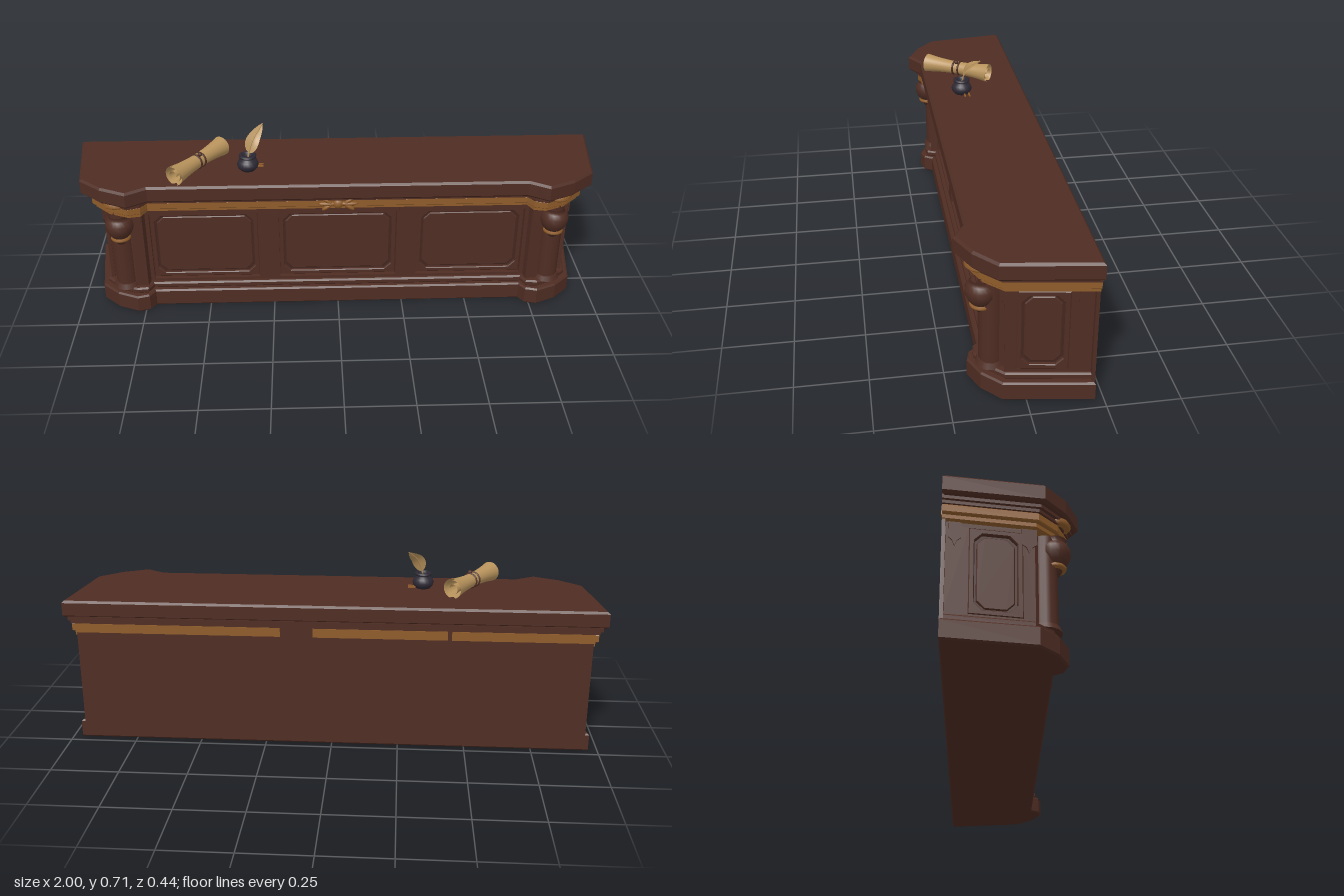
import * as THREE from 'three';
import { ParametricGeometry } from 'three/addons/geometries/ParametricGeometry.js';

const mat = (name, color, side = THREE.FrontSide) => {
  const m = new THREE.MeshStandardMaterial({ color, side });
  m.name = name;
  return m;
};

export function createModel() {
  const root = new THREE.Group();
  root.name = 'counter';
  const wood = mat('brown wood', 0x4f2d23);
  const dark = mat('dark wood', 0x432720);
  const gold = mat('gilded trim', 0x8f5c2a);
  const paper = mat('parchment', 0xb8935c, THREE.DoubleSide);
  const ink = mat('ink pot glaze', 0x2d2934);

  const add = (parent, name, geo, m, x = 0, y = 0, z = 0) => {
    const mesh = new THREE.Mesh(geo, m);
    mesh.name = name;
    mesh.position.set(x, y, z);
    parent.add(mesh);
    return mesh;
  };
  const box = (p, name, m, w, h, d, x, y, z) => add(p, name, new THREE.BoxGeometry(w, h, d), m, x, y, z);
  const lathe = (p, name, m, pts, x, y, z) =>
    add(p, name, new THREE.LatheGeometry(pts.map(q => new THREE.Vector2(...q)), 20), m, x, y, z);
  const extrude = (shape, depth, bevel = 0) => new THREE.ExtrudeGeometry(shape, {
    depth: depth - 2 * bevel, bevelEnabled: bevel > 0, bevelSize: bevel,
    bevelThickness: bevel, bevelOffset: -bevel, bevelSegments: 1,
  }).translate(0, 0, bevel);

  // Horizontal slab following the counter plan, grown outwards by o
  const layer = (name, m, y0, y1, o, zf, bevel = 0) => {
    const half = [
      [0.935 + o, -0.22], [0.89 + o, 0.06 + 0.6 * o], [0.84 + 0.5 * o, 0.115 + 0.85 * o],
      [0.78 - 0.1 * o, 0.14 + 1.17 * o], [0.735 - 0.1 * o, 0.14 + 0.75 * o], [0.72 - 0.3 * o, zf],
    ];
    const pts = [...half, ...half.slice().reverse().map(([x, z]) => [-x, z])];
    const shape = new THREE.Shape(pts.map(([x, z]) => new THREE.Vector2(x, -z)));
    const geo = extrude(shape, y1 - y0, bevel).rotateX(-Math.PI / 2);
    return add(root, name, geo, m, 0, y0, 0);
  };
  layer('plinth', wood, 0, 0.07, 0.03, 0.13, 0.006);
  layer('plinthStep', wood, 0.07, 0.095, 0.012, 0.115, 0.006);
  layer('body', wood, 0.09, 0.422, -0.012, 0.07);
  layer('lowerGoldBand', gold, 0.42, 0.433, 0.02, 0.115);
  layer('upperGoldBand', gold, 0.435, 0.464, 0.032, 0.13, 0.003);
  layer('corniceStep', wood, 0.464, 0.475, 0.036, 0.135);
  layer('cornice', wood, 0.475, 0.49, 0.046, 0.15);
  layer('counterTop', wood, 0.486, 0.55, 0.065, 0.172, 0.008);

  // Rectangle path, optionally with cut corners
  const rect = (w, h, cut = 0, cx = 0, cy = 0, Type = THREE.Shape) => {
    const a = w / 2, b = h / 2, c = cut;
    const pts = [[a - c, -b], [a, c - b], [a, b - c], [a - c, b], [c - a, b], [-a, b - c], [-a, c - b], [c - a, -b]];
    const p = new Type();
    pts.forEach(([x, y], i) => (i ? p.lineTo(cx + x, cy + y) : p.moveTo(cx + x, cy + y)));
    p.closePath();
    return p;
  };
  const holed = (outer, ...holes) => {
    outer.holes.push(...holes);
    return outer;
  };
  // Moulding ring with a field panel inside
  const panel = (p, w, h, x, y, z) => {
    const g = new THREE.Group();
    g.name = 'panel';
    g.position.set(x, y, z);
    p.add(g);
    add(g, 'panelMoulding', extrude(holed(rect(w, h), rect(w - 0.036, h - 0.036, 0.025, 0, 0, THREE.Path)), 0.016, 0.003), wood);
    add(g, 'panelGroove', extrude(rect(w - 0.02, h - 0.02), 0.003), dark);
    add(g, 'panelField', extrude(rect(w - 0.05, h - 0.05, 0.025), 0.009, 0.003), wood);
  };
  // Pointed plate hanging at the top of a stile
  const lappet = (p, w, x, z) => {
    const a = w / 2;
    const s = new THREE.Shape([[-a, 0], [-a, -0.055], [-a * 0.4, -0.065], [0, -0.085], [a * 0.4, -0.065], [a, -0.055], [a, 0]]
      .map(q => new THREE.Vector2(...q)));
    add(p, 'stileLappet', extrude(s, 0.005), wood, x, 0.42, z);
  };

  // Front framing with three panelled bays
  const bays = [-0.51, 0, 0.51];
  const frame = holed(rect(1.46, 0.33, 0, 0, 0.257),
    ...bays.map(x => rect(x ? 0.41 : 0.45, 0.29, 0, x, 0.25, THREE.Path)));
  add(root, 'frontFrame', extrude(frame, 0.035), wood, 0, 0, 0.065);
  bays.forEach(x => panel(root, x ? 0.41 : 0.45, 0.29, x, 0.25, 0.07));

  for (const s of [1, -1]) {
    lappet(root, 0.065, s * 0.265, 0.099);
    lappet(root, 0.03, s * 0.755, 0.128);
    // Side framing, aligned with the slanted end
    const side = new THREE.Group();
    side.name = 'sideEnd';
    side.position.set(s * 0.897, 0, -0.075);
    side.rotation.y = s * 1.411;
    root.add(side);
    const cx = s * -0.02;
    add(side, 'sideFrame', extrude(holed(rect(0.285, 0.327, 0, 0, 0.257), rect(0.17, 0.3, 0, cx, 0.255, THREE.Path)), 0.014), wood);
    panel(side, 0.17, 0.3, cx, 0.255, 0);
    lappet(side, 0.05, s * -0.124, 0.013);
    lappet(side, 0.04, s * 0.11, 0.013);

    // Corner column with hanging bulb
    const col = new THREE.Group();
    col.name = 'cornerColumn';
    col.position.set(s * 0.82, 0, 0);
    root.add(col);
    add(col, 'columnShaft', new THREE.CylinderGeometry(0.042, 0.042, 0.33, 16), wood, 0, 0.26, 0.1);
    add(col, 'columnFoot', new THREE.CylinderGeometry(0.046, 0.054, 0.02, 16), wood, 0, 0.1, 0.1);
    lathe(col, 'bulb', wood, [[0.028, 0.322], [0.042, 0.34], [0.052, 0.362], [0.052, 0.385], [0.042, 0.402], [0.034, 0.408], [0.04, 0.422]], 0, 0, 0.133);
    lathe(col, 'bulbRing', gold, [[0.024, 0.312], [0.036, 0.315], [0.038, 0.322], [0.032, 0.329], [0.02, 0.331]], 0, 0, 0.133);
    lathe(col, 'bulbDrop', wood, [[0, 0.29], [0.015, 0.295], [0.025, 0.313]], 0, 0, 0.133);
    lathe(col, 'capital', gold, [[0.03, 0.462], [0.045, 0.466], [0.052, 0.474], [0.046, 0.486]], 0, 0, 0.136);
  }

  // Central gilded rosette
  const rosette = new THREE.Group();
  rosette.name = 'rosette';
  rosette.position.set(0, 0.447, 0.13);
  root.add(rosette);
  add(rosette, 'rosetteHeart', new THREE.SphereGeometry(0.016, 10, 8), gold).scale.set(1.2, 1.2, 0.8);
  for (const s of [1, -1]) {
    for (const t of [-0.6, 0, 0.6]) {
      const leaf = add(rosette, 'rosetteLeaf', new THREE.SphereGeometry(1, 10, 6), gold, s * 0.04, Math.sin(t) * 0.022, 0);
      leaf.scale.set(t ? 0.026 : 0.036, 0.008, 0.009);
      leaf.rotation.z = s * t;
    }
  }

  // Plain back with three gilded inlays
  box(root, 'backBoard', wood, 1.9, 0.46, 0.012, 0, 0.26, -0.2145);
  for (const [a, b] of [[-0.955, -0.44], [-0.425, 0.07], [0.19, 0.955]])
    box(root, 'backInlay', gold, b - a, 0.034, 0.003, (a + b) / 2, 0.447, -0.2212);

  // Rolled parchment: a spiral section, waisted at the ribbon
  const scroll = new THREE.Group();
  scroll.name = 'scroll';
  scroll.position.set(-0.52, 0.586, 0.03);
  scroll.rotation.y = Math.atan2(-0.155, 0.235);
  root.add(scroll);
  add(scroll, 'parchmentRoll', new ParametricGeometry((u, v, t) => {
    const k = v * 2 - 1, r = (0.026 + 0.012 * k * k) * (0.35 + 0.65 * Math.min(1, u * 1.6));
    const a = u * Math.PI * 5.2;
    t.set(Math.cos(a) * r, Math.sin(a) * r, k * 0.142);
  }, 64, 12), paper);
  for (const z of [-0.012, 0.012])
    add(scroll, 'ribbon', new THREE.TorusGeometry(0.027, 0.004, 6, 20), wood, 0, 0, z);
  add(scroll, 'ribbonKnot', new THREE.SphereGeometry(0.009, 8, 6), wood, 0.01, 0.028, 0);

  // Ink pot
  lathe(root, 'inkPot', ink, [[0, 0], [0.026, 0], [0.037, 0.012], [0.041, 0.024], [0.036, 0.038], [0.024, 0.047],
    [0.024, 0.05], [0.032, 0.053], [0.033, 0.06], [0.026, 0.063], [0.018, 0.061], [0.016, 0.052], [0, 0.05]], -0.335, 0.549, 0.037);
  for (const z of [0.012, 0.03])
    box(root, 'penNib', gold, 0.03, 0.005, 0.006, -0.292, 0.558, z);

  // Quill: bent feather blade around a thin shaft
  const spine = new THREE.CatmullRomCurve3([[-0.335, 0.59, 0.036], [-0.328, 0.625, 0.03], [-0.312, 0.665, 0.015], [-0.278, 0.706, -0.03]]
    .map(q => new THREE.Vector3(...q)));
  add(root, 'quillShaft', new THREE.TubeGeometry(spine, 12, 0.003, 6), paper);
  add(root, 'quillFeather', new ParametricGeometry((u, v, t) => {
    spine.getPoint(0.25 + 0.75 * v, t);
    const w = (u - 0.5) * 0.052 * Math.pow(Math.sin(Math.PI * Math.pow(v, 0.85)), 0.7);
    t.x += w * 0.85;
    t.y -= w * 0.45;
    t.z += w * 0.2 + Math.abs(w) * 0.2;
  }, 4, 14), paper);

  return root;
}
